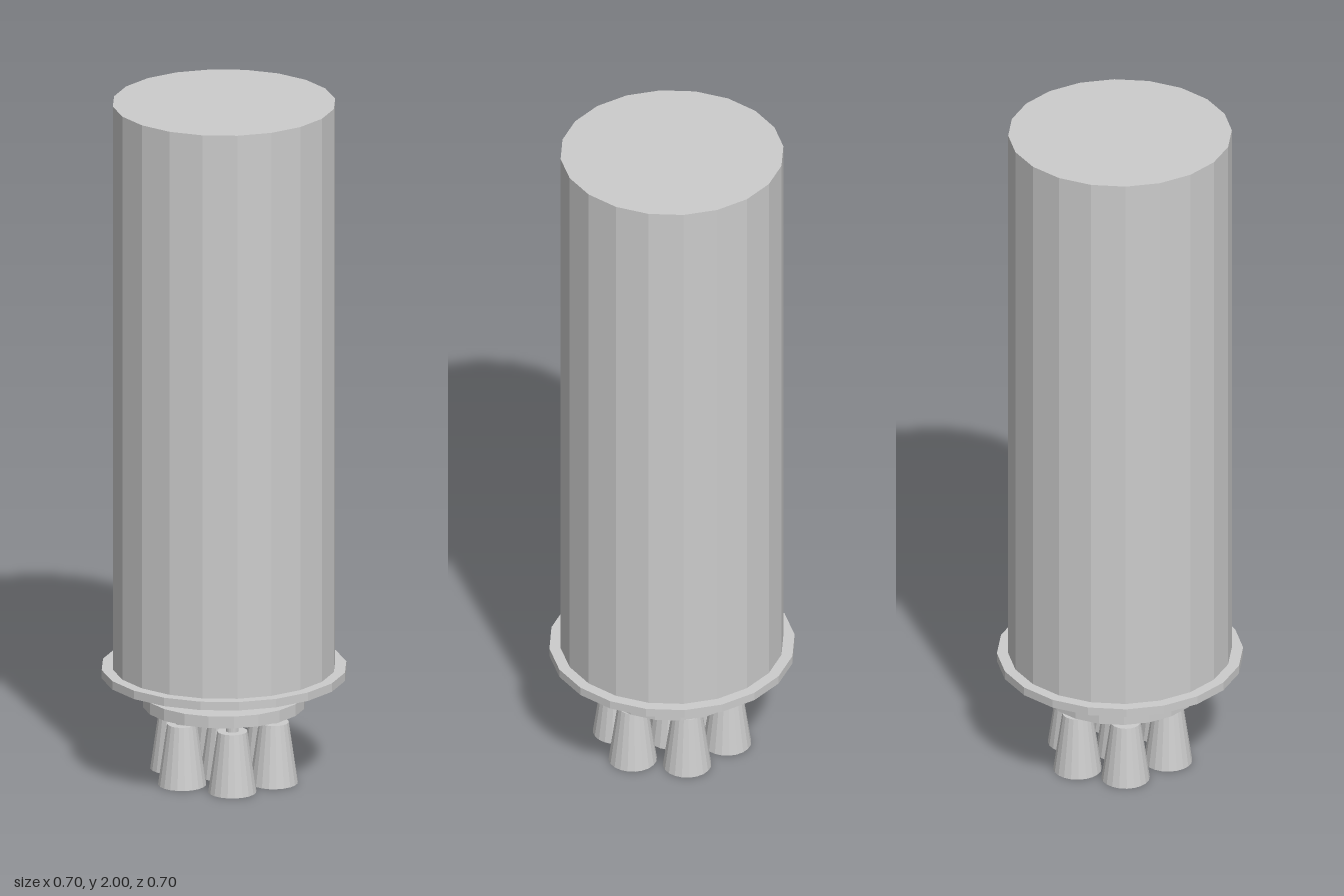
import * as THREE from 'three';

const SIDES = 20;

export function createModel() {
  const model = new THREE.Group();
  model.name = 'clusteredEngineStage';
  const grey = new THREE.MeshStandardMaterial({ color: 0xcccccc, flatShading: true });

  // Upright faceted cylinder between two heights
  function drum(name, radius, bottom, top, parent = model) {
    const mesh = new THREE.Mesh(new THREE.CylinderGeometry(radius, radius, top - bottom, SIDES), grey);
    mesh.position.y = (bottom + top) / 2;
    mesh.name = name;
    parent.add(mesh);
  }

  drum('tankBody', 0.318, 0.325, 2);
  drum('baseFlange', 0.35, 0.3, 0.325);
  drum('thrustNeck', 0.107, 0.245, 0.3);
  drum('enginePlate', 0.232, 0.21, 0.245);

  // Hollow bell: outside wall, rim, inside wall and inner ceiling
  const bellProfile = [
    [0, 0.165], [0.03, 0.165], [0.048, 0], [0.069, 0], [0.043, 0.18], [0, 0.18],
  ].map(([r, y]) => new THREE.Vector2(r, y));
  const bellGeometry = new THREE.LatheGeometry(bellProfile, SIDES);

  function engine(name, x, z) {
    const group = new THREE.Group();
    group.name = name;
    const bell = new THREE.Mesh(bellGeometry, grey);
    bell.name = 'nozzleBell';
    group.add(bell);
    drum('feedStem', 0.018, 0.18, 0.21, group);
    group.position.set(x, 0, z);
    model.add(group);
  }

  // One engine in the middle, three opposed pairs around it
  engine('centreEngine', 0, 0);
  const ring = [[-0.018, 0.146], [0.131, 0.09], [-0.147, 0.056]];
  ring.forEach(([x, z], i) => {
    engine(`frontEngine${i + 1}`, x, z);
    engine(`backEngine${i + 1}`, -x, -z);
  });

  return model;
}
